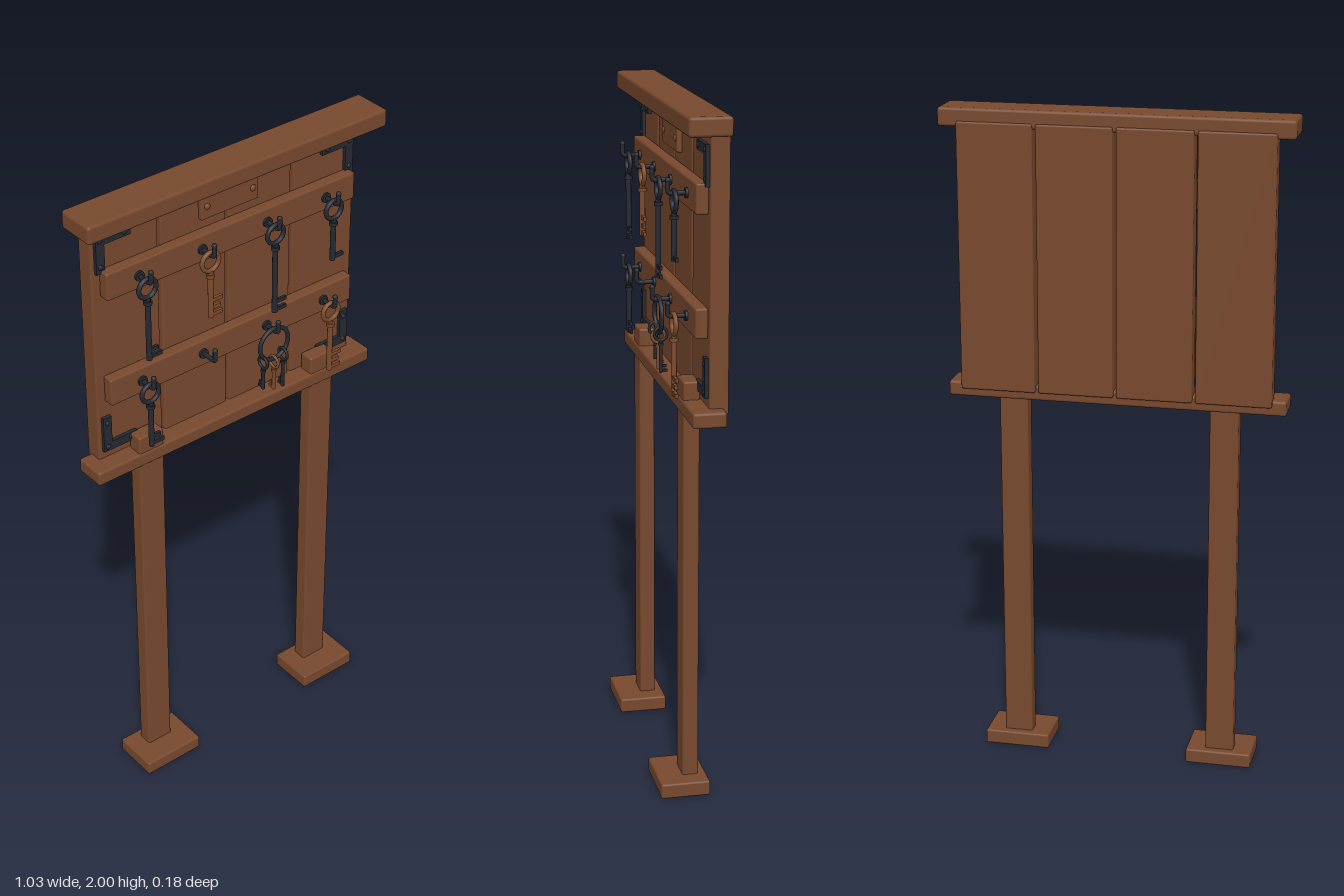
import * as THREE from 'three';
import { RoundedBoxGeometry } from 'three/addons/geometries/RoundedBoxGeometry.js';

const mat = (name, color) => new THREE.MeshStandardMaterial({ name, color });

export function createModel() {
  const wood = mat('wood', 0x78492e);
  const iron = mat('dark iron', 0x262932);
  const copper = mat('copper', 0x7e4c2c);
  const model = new THREE.Group();
  model.name = 'keyBoard';

  const add = (parent, name, geometry, material, x = 0, y = 0, z = 0) => {
    const m = new THREE.Mesh(geometry, material);
    m.name = name;
    m.position.set(x, y, z);
    parent.add(m);
    return m;
  };
  // Softly bevelled block given by its limits on each axis
  const block = (name, x0, x1, y0, y1, z0, z1, r = 0.006, material = wood) =>
    add(model, name, new RoundedBoxGeometry(x1 - x0, y1 - y0, z1 - z0, 2, r), material,
      (x0 + x1) / 2, (y0 + y1) / 2, (z0 + z1) / 2);

  // Frame: cap, ledge, posts and feet
  block('topCap', -0.516, 0.516, 1.945, 2, -0.085, 0.038, 0.009);
  block('bottomLedge', -0.505, 0.502, 1.142, 1.187, -0.077, 0.02, 0.008);
  for (const s of [-1, 1]) {
    const x = s * 0.317;
    block('post', x - 0.043, x + 0.043, 0.03, 1.24, -0.031, 0.016);
    block('foot', x - 0.1, x + 0.1, 0, 0.045, -0.055, 0.09);
  }

  // Back planks with narrow gaps
  for (let i = 0; i < 4; i++) {
    const x = -0.352 + i * 0.2335;
    block('plank', x - 0.112, x + 0.112, 1.168, 1.962, -0.09, -0.035);
  }

  // Two rails that carry the hooks
  const railY = [1.767, 1.4225];
  for (const y of railY) block('rail', -0.438, 0.436, y - 0.043, y + 0.043, -0.036, 0);

  // Blank plaque with two rivets
  block('plaque', -0.102, 0.098, 1.84, 1.918, -0.037, -0.02, 0.004);
  const rivet = (x, y, z, r, material) => {
    const m = add(model, 'rivet', new THREE.SphereGeometry(r, 12, 8), material, x, y, z);
    m.scale.z = 0.6;
  };
  for (const x of [-0.082, 0.078]) rivet(x, 1.879, -0.02, 0.01, copper);

  // L-shaped corner brackets
  const ell = new THREE.Shape();
  [[0, 0], [0.115, 0], [0.115, 0.028], [0.028, 0.028], [0.028, 0.115], [0, 0.115]]
    .forEach(([x, y], i) => (i ? ell.lineTo(x, y) : ell.moveTo(x, y)));
  const bracketGeo = new THREE.ExtrudeGeometry(ell, { depth: 0.012, bevelEnabled: false });
  const corners = [[-0.452, 1.213, 0], [0.447, 1.213, 1], [0.447, 1.916, 2], [-0.452, 1.916, 3]];
  for (const [x, y, turns] of corners) {
    add(model, 'cornerBracket', bracketGeo, iron, x, y, -0.036).rotation.z = turns * Math.PI / 2;
    const sx = x < 0 ? 1 : -1, sy = y < 1.5 ? 1 : -1;
    for (const [dx, dy] of [[0.014, 0.014], [0.095, 0.014], [0.014, 0.095]])
      rivet(x + sx * dx, y + sy * dy, -0.024, 0.008, iron);
  }

  // Upturned hook with a round base
  const hook = (x, y) => {
    const g = new THREE.Group();
    g.name = 'hook';
    g.position.set(x, y, 0);
    model.add(g);
    add(g, 'hookBase', new THREE.CylinderGeometry(0.015, 0.015, 0.008, 14), iron, 0, 0, 0.003).rotation.x = Math.PI / 2;
    const path = new THREE.CurvePath();
    const V = (py, pz) => new THREE.Vector3(0, py, pz);
    path.add(new THREE.LineCurve3(V(0, -0.01), V(0, 0.045)));
    path.add(new THREE.QuadraticBezierCurve3(V(0, 0.045), V(0, 0.055), V(0.01, 0.055)));
    path.add(new THREE.LineCurve3(V(0.01, 0.055), V(0.038, 0.055)));
    add(g, 'hookRod', new THREE.TubeGeometry(path, 24, 0.0068, 8), iron);
    add(g, 'hookTip', new THREE.SphereGeometry(0.008, 10, 8), iron, 0, 0.036, 0.055);
  };

  // Key with bow at its origin, hanging down; teeth are [height above tip, length]
  const key = (x, y, length, teeth, material, k = 1) => {
    const g = new THREE.Group();
    g.name = 'key';
    g.position.set(x, y, 0.037);
    model.add(g);
    const bow = 0.029 * k, r = 0.0085 * Math.sqrt(k) * (k < 1 ? 0.8 : 1);
    add(g, 'bow', new THREE.TorusGeometry(bow, 0.007 * k, 8, 24), material);
    add(g, 'shaft', new THREE.CylinderGeometry(r, r, length - bow, 10), material, 0, -(length + bow) / 2);
    add(g, 'collar', new THREE.CylinderGeometry(r * 1.5, r * 1.5, 0.011 * k, 12), material, 0, -bow - 0.016 * k);
    for (const [up, len] of teeth)
      add(g, 'tooth', new THREE.BoxGeometry(len, 0.012 * k, 0.009 * k), material, len / 2, -length + up);
    return g;
  };

  const hookX = [-0.332, -0.117, 0.113, 0.327];
  for (const y of railY) for (const x of hookX) hook(x, y);

  // Single keys on the upper and lower rails
  const [up, low] = railY.map((y) => y - 0.022);
  key(hookX[0], up, 0.232, [[0.01, 0.042], [0.032, 0.03]], iron);
  key(hookX[1], up, 0.18, [[0.008, 0.04], [0.03, 0.033], [0.054, 0.04]], copper);
  key(hookX[2], up, 0.258, [[0.008, 0.04], [0.034, 0.04]], iron);
  key(hookX[3], up, 0.167, [[0.01, 0.038]], iron);
  key(hookX[0], low, 0.182, [[0.01, 0.042], [0.032, 0.03]], iron);
  key(hookX[3], low, 0.206, [[0.008, 0.04], [0.03, 0.033], [0.052, 0.04]], copper);

  // Large ring with three small keys turned edge-on
  add(model, 'keyRing', new THREE.TorusGeometry(0.052, 0.0065, 8, 32), iron, hookX[2], railY[1] - 0.045, 0.037);
  for (const [dx, y, len, material] of [[-0.04, 1.328, 0.092, iron], [0, 1.314, 0.096, copper], [0.034, 1.328, 0.114, iron]])
    key(hookX[2] + dx, y, len, [[0.006, 0.02], [0.02, 0.016]], material, 0.65).rotation.y = Math.PI / 2;

  return model;
}
